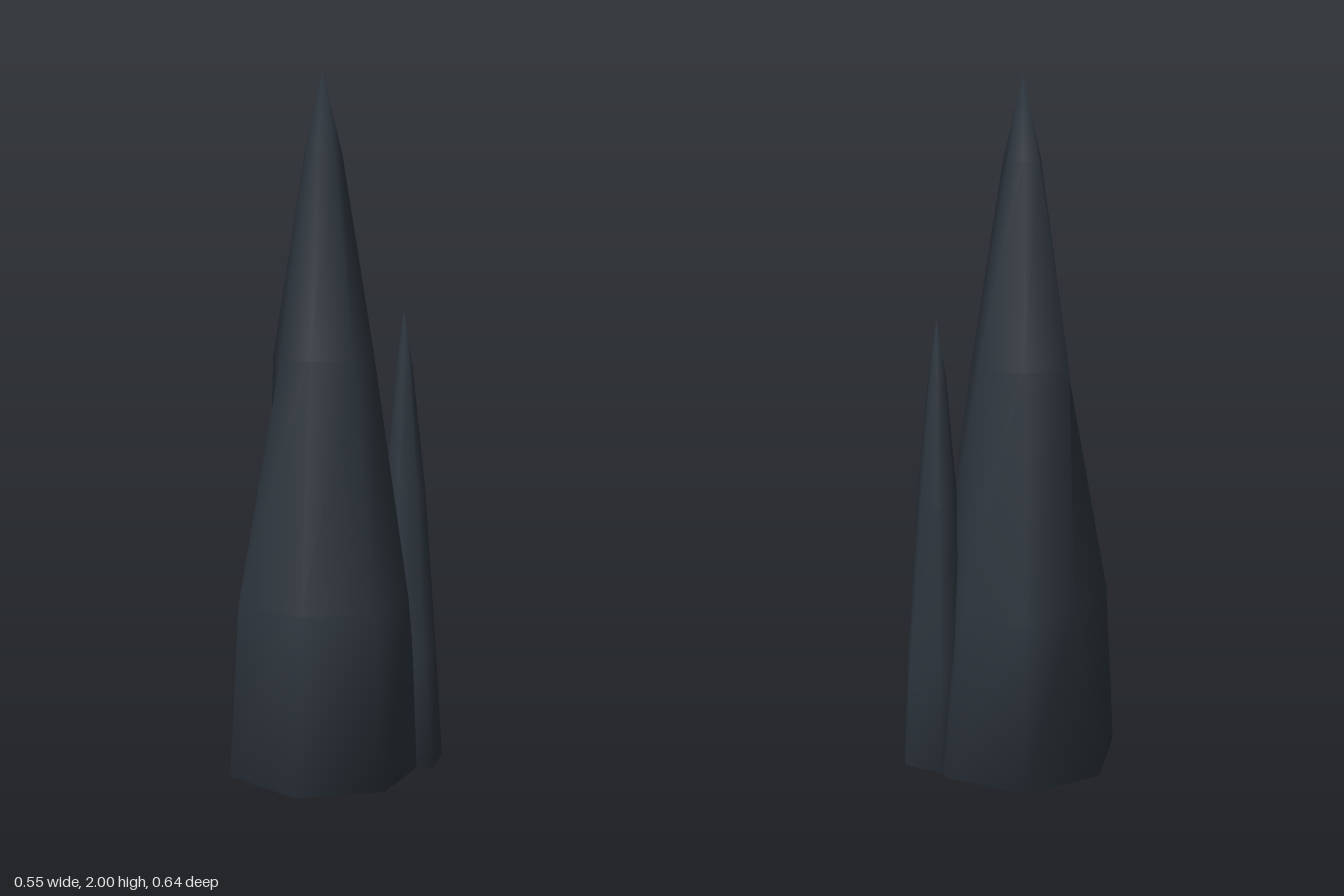
import * as THREE from 'three';

const SIDES = 7;

// Seven-sided spike: each ring is [height, radius per corner], closed by a tip and a base cap.
function makeSpike(name, cx, cz, height, rings, material) {
  const pos = [];
  const index = [];
  for (const [y, radii] of rings) {
    for (let i = 0; i < SIDES; i++) {
      const a = (i / SIDES) * Math.PI * 2;
      pos.push(cx + Math.cos(a) * radii[i], y, cz + Math.sin(a) * radii[i]);
    }
  }
  const tip = rings.length * SIDES;
  const base = tip + 1;
  pos.push(cx, height, cz, cx, 0, cz);

  for (let i = 0; i < SIDES; i++) {
    const j = (i + 1) % SIDES;
    for (let r = 0; r < rings.length - 1; r++) {
      const a = r * SIDES + i, b = r * SIDES + j;
      index.push(a, a + SIDES, b, b, a + SIDES, b + SIDES);
    }
    const top = (rings.length - 1) * SIDES;
    index.push(top + i, tip, top + j);
    index.push(base, i, j);
  }

  const geometry = new THREE.BufferGeometry();
  geometry.setAttribute('position', new THREE.Float32BufferAttribute(pos, 3));
  geometry.setIndex(index);
  geometry.computeVertexNormals(); // shared corners give soft shading
  const mesh = new THREE.Mesh(geometry, material);
  mesh.name = name;
  return mesh;
}

export function createModel() {
  const group = new THREE.Group();
  group.name = 'rockSpikes';
  const stone = new THREE.MeshStandardMaterial({ color: 0x2c343c });
  stone.name = 'dark slate';

  // Tall main spike
  group.add(makeSpike('mainSpike', -0.017, 0.036, 2, [
    [0, [0.292, 0.292, 0.292, 0.288, 0.288, 0.292, 0.292]],
    [0.5, [0.243, 0.23, 0.262, 0.19, 0.268, 0.218, 0.248]],
    [1.2, [0.143, 0.14, 0.13, 0.163, 0.125, 0.158, 0.147]],
    [1.77, [0.055, 0.055, 0.052, 0.057, 0.055, 0.052, 0.055]],
  ], stone));

  // Shorter spike behind it
  group.add(makeSpike('smallSpike', 0.07, -0.19, 1.33, [
    [0, [0.145, 0.105, 0.11, 0.12, 0.139, 0.135, 0.121]],
    [0.33, [0.1, 0.075, 0.066, 0.08, 0.112, 0.11, 0.1]],
    [0.8, [0.065, 0.06, 0.055, 0.06, 0.065, 0.064, 0.065]],
    [1.17, [0.025, 0.025, 0.025, 0.025, 0.025, 0.025, 0.025]],
  ], stone));

  return group;
}
